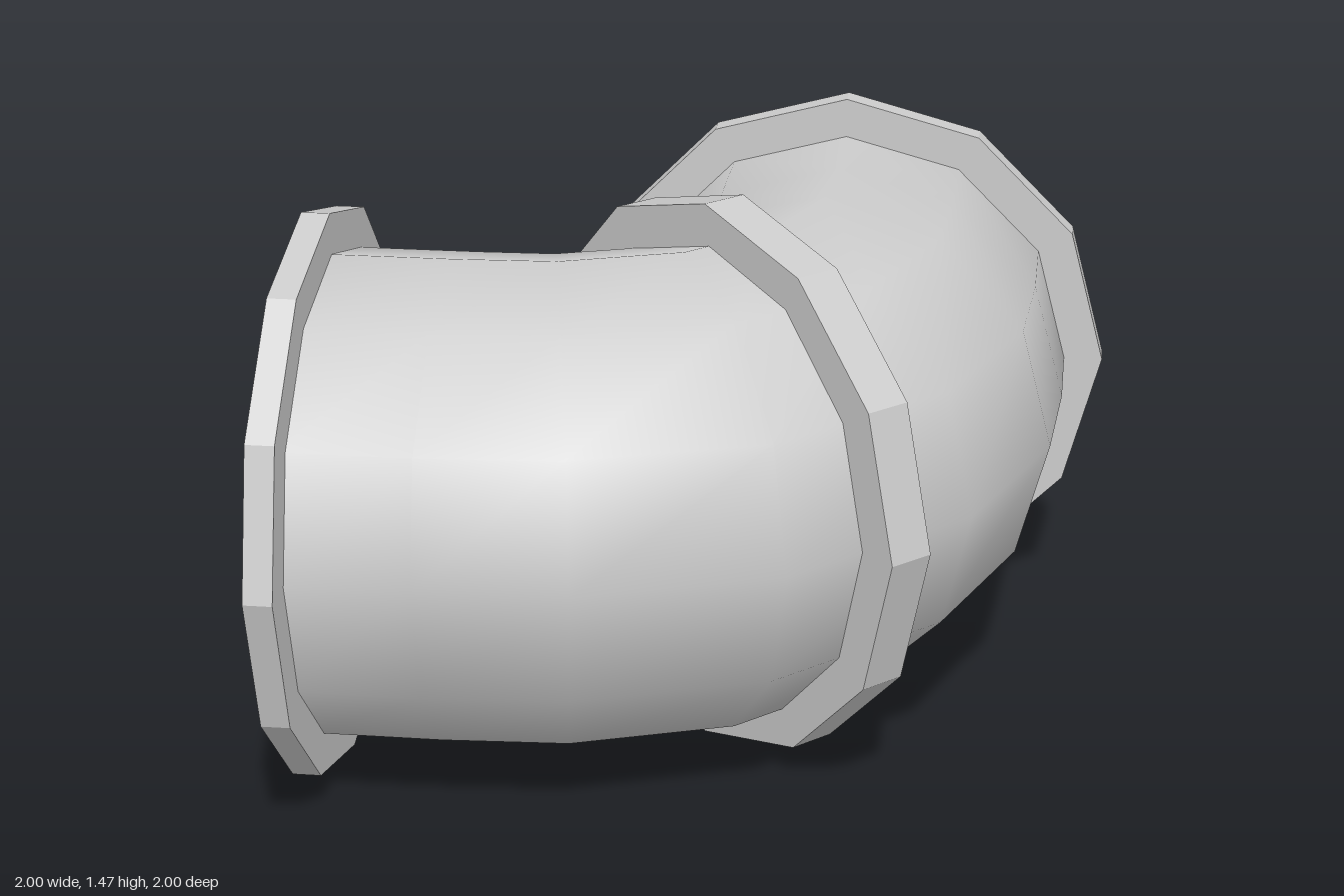
import * as THREE from 'three';

const SIDES = 12;
const CY = 0.737;      // height of the pipe axis
const PIPE_R = 0.63;
const FLANGE_R = 0.737;
const AXIS = 0.2625;   // offset of each straight leg from the centre

// Smooth tube through rings [x, z, bend angle in degrees]
function sweep(rings) {
  const pos = [], index = [];
  rings.forEach(([x, z, deg], i) => {
    const a = THREE.MathUtils.degToRad(deg);
    for (let j = 0; j < SIDES; j++) {
      const t = (j / SIDES) * Math.PI * 2;
      const r = PIPE_R * Math.cos(t);
      pos.push(x + r * Math.sin(a), CY + PIPE_R * Math.sin(t), z + r * Math.cos(a));
      if (i < rings.length - 1) {
        const k = (j + 1) % SIDES, p = i * SIDES, q = p + SIDES;
        index.push(p + j, q + j, q + k, p + j, q + k, p + k);
      }
    }
  });
  const geo = new THREE.BufferGeometry();
  geo.setAttribute('position', new THREE.Float32BufferAttribute(pos, 3));
  geo.setIndex(index);
  geo.computeVertexNormals();
  return geo;
}

export function createModel() {
  const group = new THREE.Group();
  const smooth = new THREE.MeshStandardMaterial({ color: 0xcccccc, side: THREE.DoubleSide });
  const flat = new THREE.MeshStandardMaterial({ color: 0xcccccc, flatShading: true });

  // Elbow pipe: one half of the rings, mirrored across the diagonal
  const half = [
    [-0.96, AXIS, 0],
    [-0.62, AXIS, 0],
    [-0.36, 0.25, 10.8],
    [-0.055, 0.14, 30],
  ];
  const mirrored = half.map(([x, z, a]) => [z, x, 90 - a]).reverse();
  const pipe = new THREE.Mesh(sweep([...half, ...mirrored]), smooth);
  pipe.name = 'elbowPipe';
  group.add(pipe);

  // Twelve-sided discs: closed end flanges and the middle collar
  const addDisc = (name, x, z, turn, thickness) => {
    const geo = new THREE.CylinderGeometry(FLANGE_R, FLANGE_R, thickness, SIDES);
    geo.rotateZ(Math.PI / 2).rotateY(turn);
    const mesh = new THREE.Mesh(geo, flat);
    mesh.name = name;
    mesh.position.set(x, CY, z);
    group.add(mesh);
  };
  addDisc('leftwardEndFlange', -0.9635, AXIS, 0, 0.073);
  addDisc('rearEndFlange', AXIS, -0.9635, Math.PI / 2, 0.073);
  addDisc('middleCollar', 0.03, 0.03, Math.PI / 4, 0.124);

  return group;
}
